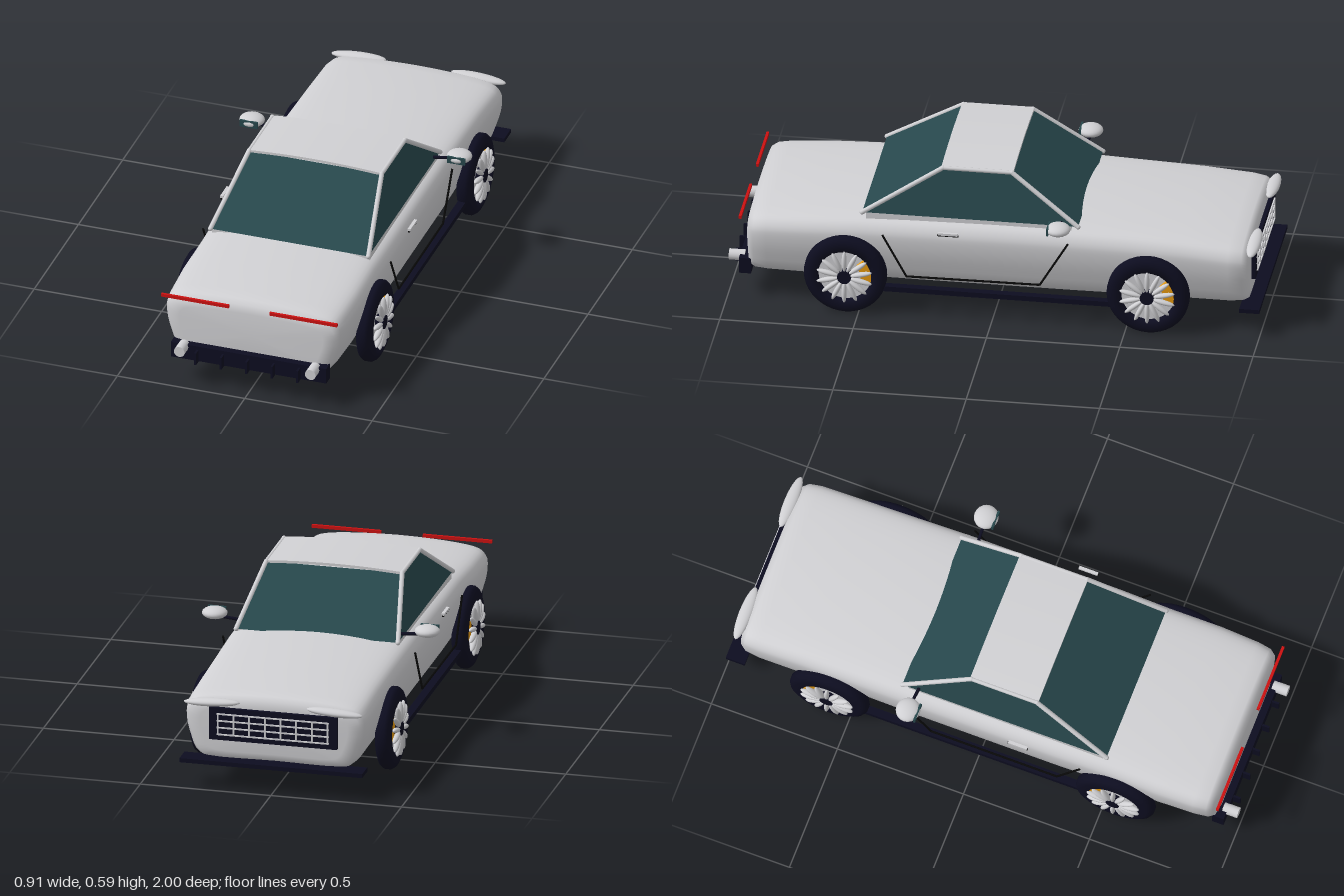
import * as THREE from 'three';

const mat = (name, color, side = THREE.FrontSide) => {
  const m = new THREE.MeshStandardMaterial({ color, side });
  m.name = name;
  return m;
};

export function createModel() {
  const car = new THREE.Group();
  car.name = 'car';
  const paint = mat('silver paint', 0xd0d0d3);
  const dark = mat('dark trim', 0x0d0d20);
  const glass = mat('tinted glass', 0x27474c, THREE.DoubleSide);
  const red = mat('red lens', 0xcc1111);
  const orange = mat('orange caliper', 0xf0a010);
  const seamBlack = mat('seam black', 0x080808);

  const add = (name, geo, material, x = 0, y = 0, z = 0, parent = car) => {
    const m = new THREE.Mesh(geo, material);
    m.name = name;
    m.position.set(x, y, z);
    parent.add(m);
    return m;
  };
  const box = (name, material, w, h, d, x, y, z, parent) =>
    add(name, new THREE.BoxGeometry(w, h, d), material, x, y, z, parent);
  const ellipsoid = (name, material, rx, ry, rz, x, y, z, parent) =>
    add(name, new THREE.SphereGeometry(1, 20, 14).scale(rx, ry, rz), material, x, y, z, parent);
  const rod = (name, material, a, b, r, parent = car) => {
    const p = new THREE.Vector3(...a), q = new THREE.Vector3(...b);
    const m = add(name, new THREE.CylinderGeometry(r, r, p.distanceTo(q), 10), material, 0, 0, 0, parent);
    m.position.copy(p).add(q).multiplyScalar(0.5);
    m.quaternion.setFromUnitVectors(new THREE.Vector3(0, 1, 0), q.sub(p).normalize());
    return m;
  };

  // Body shell: one rounded cross-section lofted along the length
  const half = [[0.27, 0], [0.305, 0.06], [0.335, 0.3], [0.352, 0.62], [0.345, 0.8], [0.31, 0.91], [0.22, 0.965]];
  const section = [...half, [0, 1], ...half.slice().reverse().map(([x, t]) => [-x, t]), [0, 0]];
  const ring = new THREE.CatmullRomCurve3(section.map(([x, t]) => new THREE.Vector3(x, t, 0)), true, 'centripetal').getPoints(64);
  ring.pop();
  // z, width factor, bottom, top
  const stations = [
    [0.93, 0.0, 0.23, 0.23], [0.93, 0.8, 0.145, 0.32], [0.922, 0.92, 0.12, 0.352], [0.9, 0.965, 0.112, 0.363],
    [0.85, 0.985, 0.11, 0.37], [0.7, 1, 0.11, 0.38], [0.5, 0.99, 0.11, 0.39], [0.3, 1, 0.11, 0.395],
    [0, 1, 0.11, 0.4], [-0.3, 1, 0.11, 0.4], [-0.5, 0.99, 0.11, 0.393], [-0.7, 0.985, 0.11, 0.385],
    [-0.88, 0.985, 0.11, 0.37], [-0.93, 0.965, 0.113, 0.362], [-0.95, 0.92, 0.12, 0.35],
    [-0.956, 0.8, 0.145, 0.32], [-0.956, 0, 0.23, 0.23]];
  const pos = [], idx = [], n = ring.length;
  stations.forEach(([z, w, lo, hi], i) => {
    ring.forEach((p, j) => {
      pos.push(p.x * w, lo + p.y * (hi - lo), z);
      if (i === stations.length - 1) return;
      const a = i * n + j, b = i * n + (j + 1) % n;
      idx.push(a, a + n, b, b, a + n, b + n);
    });
  });
  const shell = new THREE.BufferGeometry();
  shell.setAttribute('position', new THREE.Float32BufferAttribute(pos, 3));
  shell.setIndex(idx);
  shell.computeVertexNormals();
  add('bodyShell', shell, paint);
  box('beltLine', paint, 0.618, 0.055, 0.77, 0, 0.3625, 0.095);

  // Cabin glass and frame
  const quad = (name, corners) => {
    const g = new THREE.BufferGeometry();
    g.setAttribute('position', new THREE.Float32BufferAttribute(corners.flat(), 3));
    g.setIndex([0, 1, 2, 0, 2, 3]);
    g.computeVertexNormals();
    add(name, g, glass);
  };
  const base = (s, z) => [s * 0.31, 0.39, z], roofY = 0.572;
  const top = (s, z) => [s * 0.26, roofY, z];
  const zb = 0.495, zf = -0.315, tb = 0.2, tf = -0.06;
  quad('rearWindow', [base(-1, zb), base(1, zb), top(1, tb), top(-1, tb)]);
  quad('windscreen', [base(1, zf), base(-1, zf), top(-1, tf), top(1, tf)]);
  for (const s of [1, -1]) {
    const c = [base(s, zb), base(s, zf), top(s, tf), top(s, tb)];
    quad('sideWindow', s > 0 ? c : c.slice().reverse());
    rod('rearPillar', paint, c[0], c[3], 0.009);
    rod('frontPillar', paint, c[1], c[2], 0.009);
    rod('roofRail', paint, c[2], c[3], 0.008);
    for (const p of c) ellipsoid('pillarJoint', paint, 0.009, 0.009, 0.009, ...p);
  }
  const roof = new THREE.BoxGeometry(0.52, 0.01, 0.27, 16, 1, 8);
  const rp = roof.attributes.position;
  for (let i = 0; i < rp.count; i++) rp.setY(i, rp.getY(i) + 0.01 * (1 - (rp.getX(i) / 0.26) ** 2));
  roof.computeVertexNormals();
  add('roof', roof, paint, 0, roofY, 0.07);

  // Wheels: the axle is the group's x axis, outside at +x before mirroring
  const tyreProfile = [[0.1, -0.028], [0.13, -0.03], [0.147, -0.022], [0.155, -0.01], [0.155, 0.01],
    [0.147, 0.022], [0.13, 0.03], [0.1, 0.028], [0.1, -0.028]].map(([r, h]) => new THREE.Vector2(r, h));
  const tyreGeo = new THREE.LatheGeometry(tyreProfile, 40).rotateZ(-Math.PI / 2);
  const disc = (r, w) => new THREE.CylinderGeometry(r, r, w, 32).rotateZ(Math.PI / 2);
  const caliperShape = new THREE.Shape();
  caliperShape.absarc(0, 0, 0.1, -0.2, 0.75, false);
  caliperShape.absarc(0, 0, 0.06, 0.75, -0.2, true);
  // turned so its middle points toward -z
  const caliperGeo = new THREE.ExtrudeGeometry(caliperShape, { depth: 0.054, bevelEnabled: false, curveSegments: 10 })
    .translate(0, 0, -0.027).rotateY(Math.PI / 2);
  for (const s of [1, -1]) for (const z of [0.55, -0.585]) {
    const wheel = new THREE.Group();
    wheel.name = 'wheel';
    wheel.position.set(s * 0.355, 0.155, z);
    car.add(wheel);
    add('tyre', tyreGeo, dark, 0, 0, 0, wheel);
    add('brakeDisc', disc(0.102, 0.016), paint, 0, 0, 0, wheel);
    add('caliper', caliperGeo, orange, 0, 0, 0, wheel);
    add('hub', disc(0.026, 0.082), dark, 0, 0, 0, wheel);
    for (let i = 0; i < 14; i++) {
      const spoke = new THREE.Group();
      spoke.name = 'spoke';
      spoke.rotation.x = (i / 14) * Math.PI * 2;
      wheel.add(spoke);
      ellipsoid('spokeBlade', paint, 0.012, 0.042, 0.0095, s * 0.034, 0.064, 0, spoke);
    }
  }

  for (const s of [1, -1]) {
    // Sills, door seams and handles
    box('sill', dark, 0.03, 0.02, 0.9, s * 0.352, 0.106, -0.02);
    const seam = [[0.41, 0.33], [0.32, 0.165], [-0.18, 0.168], [-0.285, 0.345]];
    // the lower line follows the body side
    for (let i = 0; i < 3; i++)
      rod('doorSeam', seamBlack, [s * 0.368, seam[i][1], seam[i][0]], [s * 0.368, seam[i + 1][1], seam[i + 1][0]], 0.004);
    box('doorHandle', paint, 0.012, 0.009, 0.075, s * 0.368, 0.352, 0.165);
    box('handleShadow', seamBlack, 0.008, 0.004, 0.08, s * 0.368, 0.3455, 0.165);

    // Mirrors
    rod('mirrorArm', dark, [s * 0.3, 0.402, -0.25], [s * 0.385, 0.418, -0.255].map((v, i) => i === 1 ? 0.412 : v), 0.006);
    ellipsoid('mirrorShell', paint, 0.048, 0.022, 0.046, s * 0.407, 0.425, -0.255);
    box('mirrorGlass', glass, 0.07, 0.027, 0.008, s * 0.407, 0.425, -0.218);

    // Lights and exhausts
    box('tailLight', red, 0.265, 0.012, 0.01, s * 0.2125, 0.351, 0.947);
    const lamp = ellipsoid('headlight', paint, 0.108, 0.015, 0.025, s * 0.235, 0.335, -0.965);
    lamp.rotation.z = s * -0.05;
    add('exhaust', new THREE.CylinderGeometry(0.021, 0.021, 0.06, 20).rotateX(Math.PI / 2), paint, s * 0.257, 0.15, 0.97);
  }

  // Rear diffuser with fins
  box('diffuser', dark, 0.61, 0.062, 0.045, 0, 0.13, 0.935);
  for (let i = -2; i <= 2; i++) box('diffuserFin', dark, 0.008, 0.05, 0.06, i * 0.1, 0.122, 0.955);

  // Front splitter and grille
  box('splitter', dark, 0.7, 0.016, 0.075, 0, 0.108, -0.9625);
  box('grillePanel', dark, 0.49, 0.125, 0.025, 0, 0.253, -0.958);
  for (let i = 0; i < 4; i++) box('grilleBar', paint, 0.43, 0.005, 0.008, 0, 0.213 + i * 0.0267, -0.972);
  for (let i = 0; i < 8; i++) box('grilleBar', paint, 0.006, 0.085, 0.008, -0.21 + i * 0.06, 0.253, -0.972);

  return car;
}
